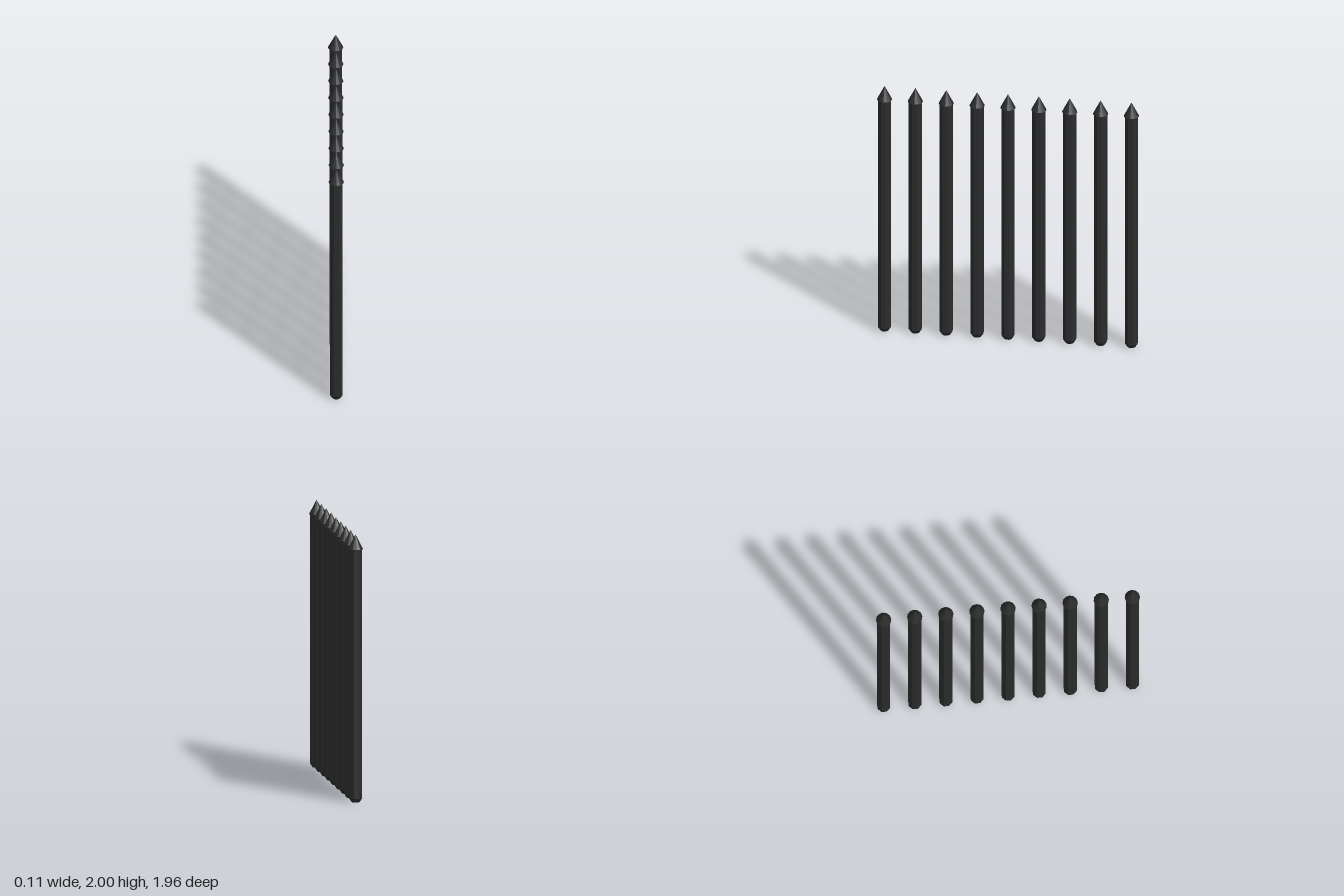
import * as THREE from 'three';

const COUNT = 9;
const SPACING = 0.231;

export function createModel() {
  const model = new THREE.Group();
  model.name = 'railingPosts';
  const iron = new THREE.MeshStandardMaterial({ color: 0x2b2b2b, flatShading: true });

  // Octagonal shaft with flats facing the axes and a chamfered foot
  const shaftProfile = [[0, 0], [0.031, 0], [0.051, 0.03], [0.051, 1.89], [0, 1.89]]
    .map(([r, y]) => new THREE.Vector2(r, y));
  const shaftGeometry = new THREE.LatheGeometry(shaftProfile, 8, Math.PI / 8);

  // Pointed cap, slightly wider than the shaft
  const tipGeometry = new THREE.ConeGeometry(0.057, 0.11, 12);
  tipGeometry.translate(0, 1.945, 0);

  // Row of identical posts along z
  for (let i = 0; i < COUNT; i++) {
    const post = new THREE.Group();
    post.name = `post${i + 1}`;
    const shaft = new THREE.Mesh(shaftGeometry, iron);
    shaft.name = 'shaft';
    const tip = new THREE.Mesh(tipGeometry, iron);
    tip.name = 'spearTip';
    post.add(shaft, tip);
    post.position.z = (i - (COUNT - 1) / 2) * SPACING;
    model.add(post);
  }
  return model;
}
